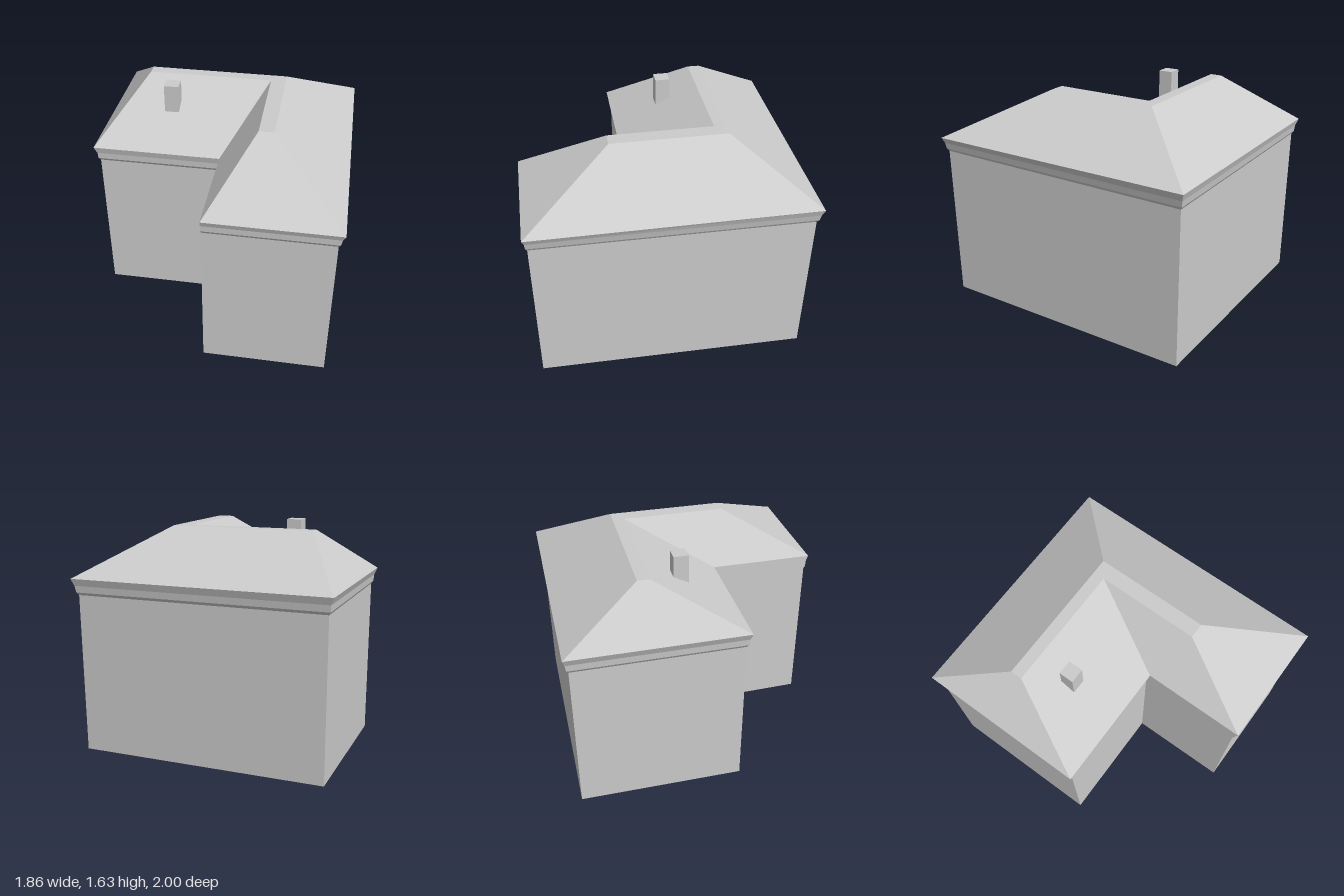
import * as THREE from 'three';

// L-shaped outline, counterclockwise seen from above. xi, zi is the inner corner;
// yf is the height at the front end of the wing.
function ring({ y, yf = y, xl, xr, zb, zf, xi = 0, zi }) {
  return [
    [xl, y, zb], [xl, y, zi], [xi, y, zi],
    [xi, yf, zf], [xr, yf, zf], [xr, y, zb],
  ];
}

// Flat-faced geometry from a list of triangles
function facets(triangles) {
  const geometry = new THREE.BufferGeometry();
  geometry.setAttribute('position', new THREE.Float32BufferAttribute(triangles.flat(2), 3));
  geometry.computeVertexNormals();
  return geometry;
}

// Band of faces joining a lower and an upper outline
function band(lower, upper) {
  const triangles = [];
  lower.forEach((a, i) => {
    const j = (i + 1) % lower.length;
    triangles.push([a, lower[j], upper[j]], [a, upper[j], upper[i]]);
  });
  return facets(triangles);
}

export function createModel() {
  const group = new THREE.Group();
  const plaster = new THREE.MeshStandardMaterial({ color: 0xcccccc, side: THREE.DoubleSide });
  plaster.name = 'light grey';

  const add = (name, geometry) => {
    const mesh = new THREE.Mesh(geometry, plaster);
    mesh.name = name;
    group.add(mesh);
    return mesh;
  };

  // Outlines from the ground up to the roof top
  const rings = [
    { y: 0, yf: 0.015, xl: -0.885, xr: 0.88, zb: -0.957, zf: 0.962, zi: 0.217 },
    { y: 1.133, yf: 1.145, xl: -0.895, xr: 0.89, zb: -0.964, zf: 0.97, zi: 0.22 },
    { y: 1.153, yf: 1.165, xl: -0.908, xr: 0.902, zb: -0.978, zf: 0.982, zi: 0.232 },
    { y: 1.2, yf: 1.21, xl: -0.912, xr: 0.912, zb: -0.984, zf: 0.985, zi: 0.235 },
    { y: 1.25, xl: -0.933, xr: 0.93, zb: -1, zf: 1, zi: 0.248 },
    { y: 1.585, xl: -0.632, xr: 0.402, zb: -0.457, zf: 0.377, xi: 0.292, zi: -0.372 },
  ].map(ring);

  // Walls (open underneath), cornice mouldings and hipped roof
  const names = ['walls', 'corniceLedge', 'corniceBand', 'eaves', 'roofSlopes'];
  names.forEach((name, i) => add(name, band(rings[i], rings[i + 1])));

  // Flat strip along the top of the roof
  const top = rings[5];
  const cap = [[0, 1, 2], [0, 2, 5], [2, 3, 4], [2, 4, 5]];
  add('roofTop', facets(cap.map((t) => t.map((i) => top[i]))));

  // Chimney on the front slope
  const chimney = add('chimney', new THREE.BoxGeometry(0.106, 0.208, 0.106));
  chimney.position.set(-0.408, 1.526, -0.122);

  return group;
}
